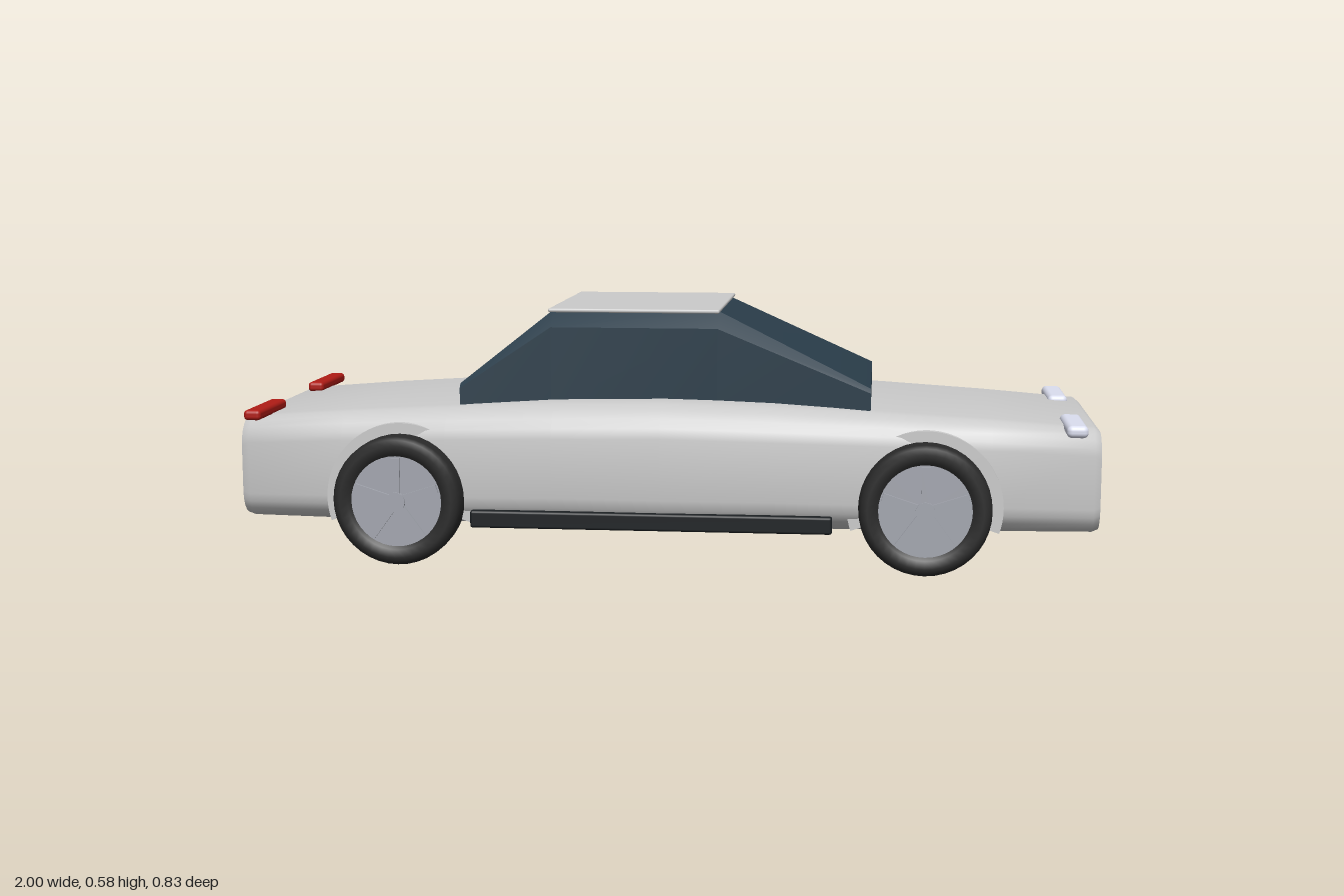
import * as THREE from 'three';
import { toCreasedNormals } from 'three/addons/utils/BufferGeometryUtils.js';
import { RoundedBoxGeometry } from 'three/addons/geometries/RoundedBoxGeometry.js';

const mat = (color) => new THREE.MeshStandardMaterial({ color });
const grey = mat(0xcccccc), glass = mat(0x2a3d4a), rubber = mat(0x2a2a2a), trim = mat(0x1c2023);
const alloy = mat(0xa4a7b0), lamp = mat(0xdcdff0), red = mat(0xb01c16);

function add(parent, name, geometry, material, x = 0, y = 0, z = 0) {
  const mesh = new THREE.Mesh(geometry, material);
  mesh.name = name;
  mesh.position.set(x, y, z);
  parent.add(mesh);
  return mesh;
}

// Skin closed sections ({x, ring: [[z, y], ...]}) along x and cap both ends
function loft(sections, crease) {
  const pos = [], idx = [], n = sections[0].ring.length;
  for (const { x, ring } of sections) for (const [z, y] of ring) pos.push(x, y, z);
  for (let i = 0; i < sections.length - 1; i++) {
    for (let j = 0; j < n; j++) {
      const a = i * n + j, b = i * n + (j + 1) % n;
      idx.push(a, b, a + n, b, b + n, a + n);
    }
  }
  const last = (sections.length - 1) * n;
  for (let j = 1; j < n - 1; j++) idx.push(0, j + 1, j, last, last + j, last + j + 1);
  const g = new THREE.BufferGeometry();
  g.setAttribute('position', new THREE.Float32BufferAttribute(pos, 3));
  g.setIndex(idx);
  return toCreasedNormals(g, crease);
}

// Rounded rectangle section with elliptical corners
function bodyRing(w, bottom, top, rz, ry) {
  const ring = [], steps = 5;
  const corners = [[-w + rz, top - ry], [w - rz, top - ry], [w - rz, bottom + ry], [-w + rz, bottom + ry]];
  corners.forEach(([cz, cy], q) => {
    for (let k = 0; k <= steps; k++) {
      const a = (q + k / steps) * Math.PI / 2;
      ring.push([cz - rz * Math.cos(a), cy + ry * Math.sin(a)]);
    }
  });
  return ring;
}

// Cabin section with chamfered upper corners
const cabinRing = (w, top, cz, cy) => [
  [-w, 0.36], [-w, top - cy], [-w + cz, top], [w - cz, top], [w, top - cy], [w, 0.36],
];

function makeWheel() {
  const wheel = new THREE.Group();
  const profile = [[0.1, -0.03], [0.112, -0.042], [0.13, -0.047], [0.143, -0.041], [0.149, -0.028], [0.15, 0],
    [0.149, 0.028], [0.143, 0.041], [0.13, 0.047], [0.112, 0.042], [0.1, 0.03]];
  const tire = new THREE.LatheGeometry(profile.map(([r, y]) => new THREE.Vector2(r, y)), 40);
  add(wheel, 'tire', tire.rotateX(Math.PI / 2), rubber);
  add(wheel, 'rim', new THREE.CylinderGeometry(0.106, 0.106, 0.07, 40).rotateX(Math.PI / 2), alloy);
  add(wheel, 'hub', new THREE.CylinderGeometry(0.022, 0.022, 0.09, 20).rotateX(Math.PI / 2), alloy);
  for (let i = 0; i < 5; i++) {
    const spoke = new THREE.BoxGeometry(0.09, 0.02, 0.082).translate(0.056, 0, 0);
    add(wheel, 'spoke', spoke, alloy).rotation.z = Math.PI / 2 + i * Math.PI * 0.4;
  }
  return wheel;
}

// Flat wheel-arch band around a wheel
function archGeometry() {
  const s = new THREE.Shape(), a0 = -0.32, a1 = Math.PI + 0.32;
  s.absarc(0, 0, 0.176, a0, a1, false);
  s.absarc(0, 0, 0.148, a1, a0, true);
  const g = new THREE.ExtrudeGeometry(s, { depth: 0.05, bevelEnabled: false, curveSegments: 28 });
  return toCreasedNormals(g.translate(0, 0, -0.025), 0.6);
}

export function createModel() {
  const car = new THREE.Group();
  car.name = 'car';

  // Body shell: x, half width, bottom, top, corner width, corner height
  const stations = [
    [-1, 0.3, 0.09, 0.32, 0.055, 0.06], [-0.98, 0.312, 0.086, 0.328, 0.06, 0.06],
    [-0.75, 0.336, 0.085, 0.345, 0.07, 0.065], [-0.5, 0.362, 0.085, 0.36, 0.09, 0.07],
    [-0.25, 0.376, 0.085, 0.372, 0.1, 0.075], [0, 0.381, 0.085, 0.377, 0.1, 0.075],
    [0.25, 0.376, 0.085, 0.372, 0.1, 0.075], [0.5, 0.362, 0.085, 0.36, 0.09, 0.07],
    [0.75, 0.336, 0.085, 0.345, 0.07, 0.065], [0.98, 0.315, 0.085, 0.328, 0.06, 0.06],
    [0.995, 0.305, 0.09, 0.316, 0.055, 0.06],
  ];
  const body = stations.map(([x, ...p]) => ({ x, ring: bodyRing(...p) }));
  add(car, 'body', loft(body, 0.75), grey);

  // Glass cabin and the thin roof panel on top
  const cabin = [[-0.48, 0.278, 0.41, 0.01, 0.01], [-0.27, 0.246, 0.578, 0.046, 0.037],
    [0.12, 0.246, 0.578, 0.046, 0.037], [0.475, 0.283, 0.41, 0.01, 0.01]];
  add(car, 'cabinGlass', loft(cabin.map(([x, ...p]) => ({ x, ring: cabinRing(...p) })), 0.5), glass);
  add(car, 'roofPanel', new RoundedBoxGeometry(0.4, 0.009, 0.498, 2, 0.004), grey, -0.075, 0.5805, 0);

  // Front grille
  add(car, 'grille', new THREE.BoxGeometry(0.02, 0.08, 0.392), trim, 0.99, 0.18, 0);

  // Mirrored parts
  for (const side of [1, -1]) {
    const sideName = side > 0 ? 'left' : 'right';
    add(car, sideName + 'Headlight', new RoundedBoxGeometry(0.048, 0.028, 0.205, 4, 0.012), lamp, 0.935, 0.329, side * 0.258);
    add(car, sideName + 'TailLight', new RoundedBoxGeometry(0.04, 0.024, 0.21, 4, 0.009), red, -0.953, 0.34, side * 0.26);
    add(car, sideName + 'SideSkirt', new RoundedBoxGeometry(0.83, 0.04, 0.024, 2, 0.006), trim, -0.023, 0.11, side * 0.374);
    for (const x of [-0.605, 0.6]) {
      const end = x > 0 ? 'Front' : 'Rear';
      const wheel = makeWheel();
      wheel.name = sideName + end + 'Wheel';
      wheel.position.set(x, 0.152, side * 0.369);
      car.add(wheel);
      add(car, sideName + end + 'WheelArch', archGeometry(), grey, x, 0.15, side * 0.328);
    }
  }
  return car;
}
